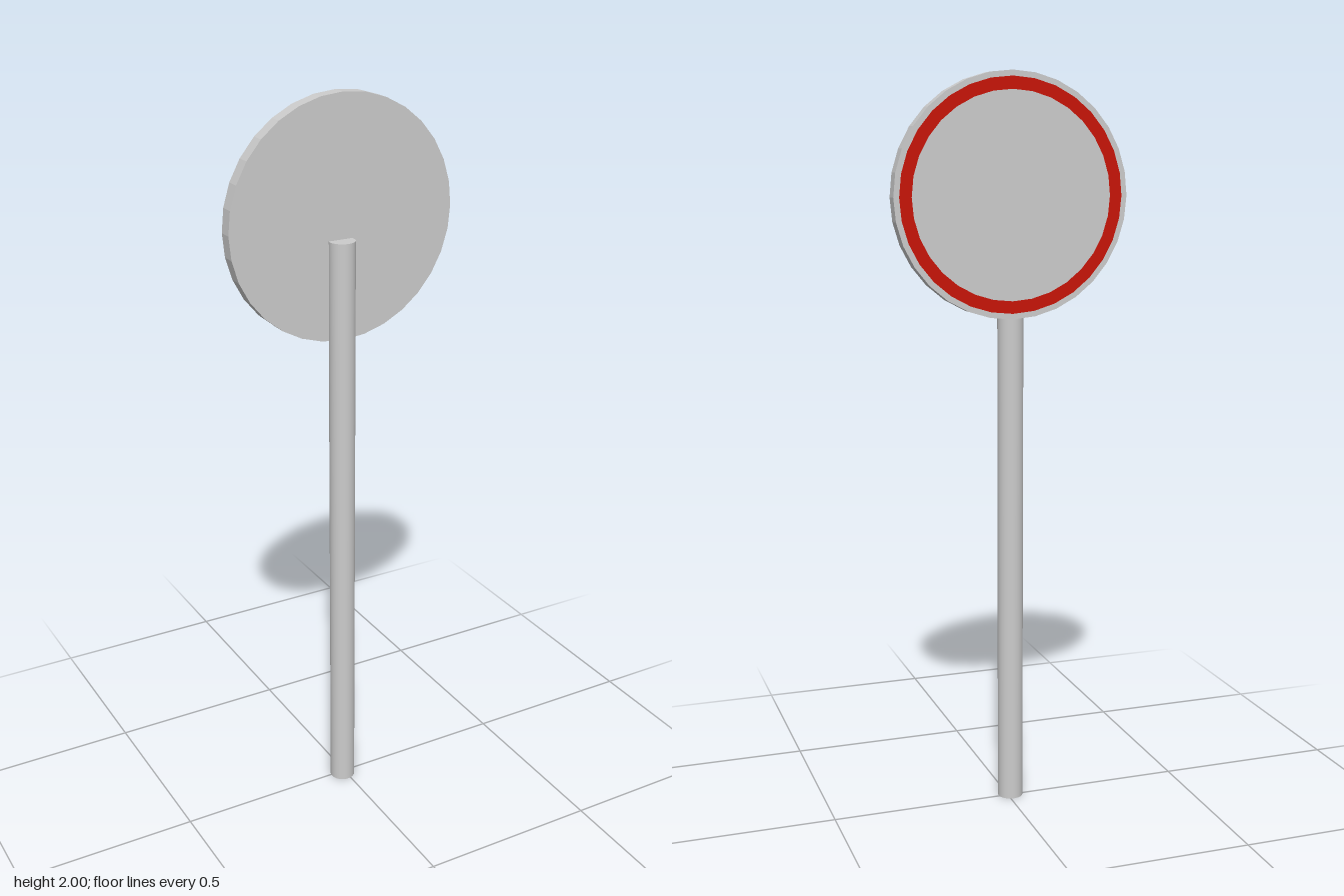
import * as THREE from 'three';

const SEGMENTS = 32;
const CENTRE_Y = 1.68;
const BACK_Z = -0.041;

export function createModel() {
  const model = new THREE.Group();
  const grey = new THREE.MeshStandardMaterial({ color: 0xcccccc });
  const greyFlat = new THREE.MeshStandardMaterial({ color: 0xcccccc, flatShading: true });
  const red = new THREE.MeshStandardMaterial({ color: 0xc81408 });

  function add(name, geometry, material, x, y, z) {
    const mesh = new THREE.Mesh(geometry, material);
    mesh.name = name;
    mesh.position.set(x, y, z);
    model.add(mesh);
  }

  // Round post, slightly off centre, sunk into the front of the plate
  add('post', new THREE.CylinderGeometry(0.035, 0.035, 1.63, SEGMENTS), grey, -0.009, 0.815, 0.006);

  // Faceted disc standing upright
  const thickness = 0.038;
  const disc = new THREE.CylinderGeometry(0.32, 0.32, thickness, SEGMENTS).rotateX(Math.PI / 2);
  add('signPlate', disc, greyFlat, 0, CENTRE_Y, BACK_Z + thickness / 2);

  // Thin red border on the back face
  const border = new THREE.RingGeometry(0.272, 0.305, SEGMENTS).rotateY(Math.PI);
  add('signBorder', border, red, 0, CENTRE_Y, BACK_Z - 0.001);

  return model;
}
